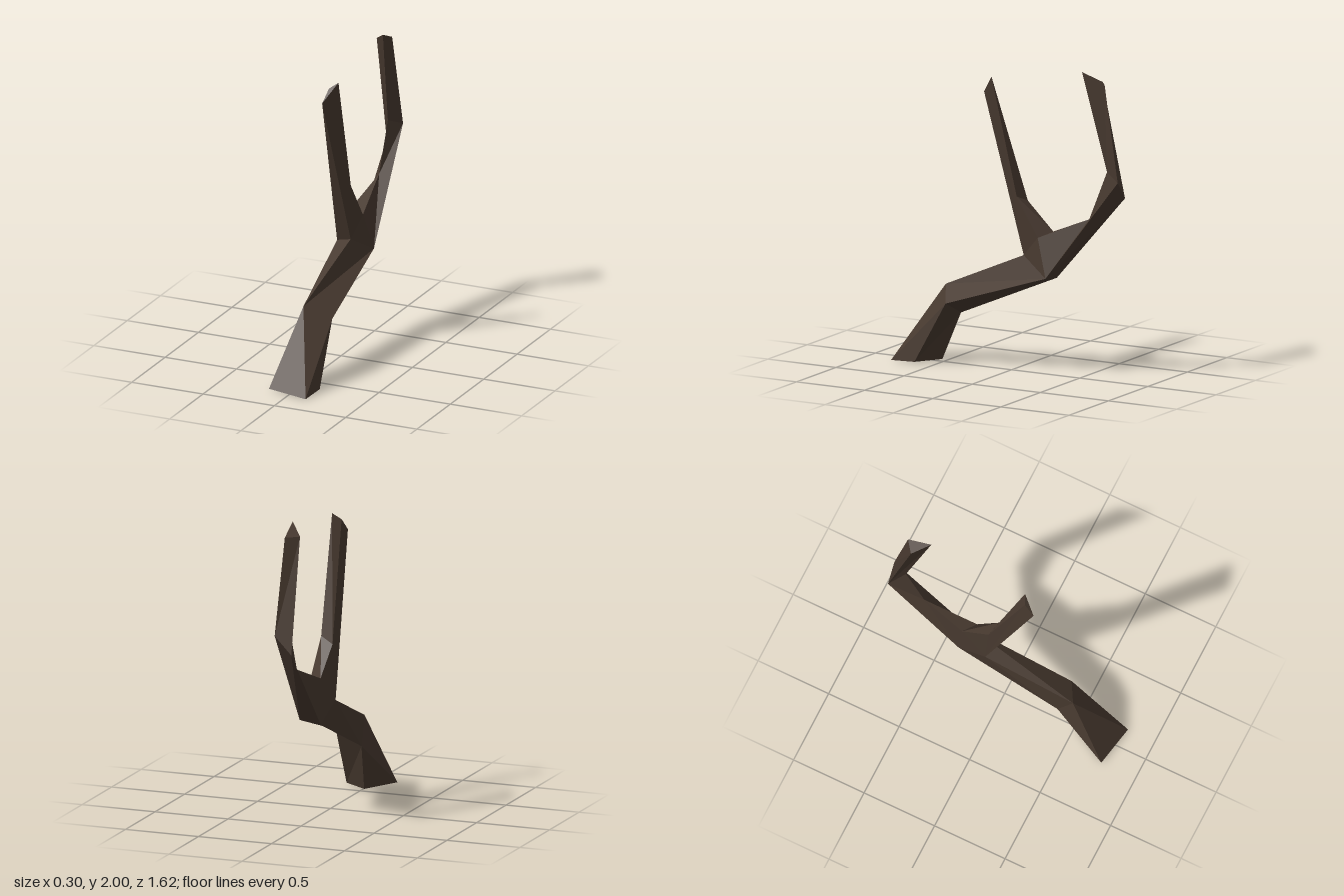
import * as THREE from 'three';

// Corners of each cross-section, ordered counterclockwise seen from above
const foot = [[-0.15, 0.01, 0.76], [0.13, 0, 0.81], [0.145, 0.01, 0.63], [-0.02, 0.01, 0.52]];
const bend = [[-0.03, 0.5, 0.5], [0.13, 0.41, 0.41], [-0.05, 0.32, 0.4]];
const elbow = [[0, 1.36, -0.7], [0.055, 1.31, -0.81], [-0.055, 1.19, -0.8]];
const limbTip = [[0.04, 2, -0.54], [0.03, 1.93, -0.7], [-0.05, 1.93, -0.64]];
const branchTip = [[0.04, 1.9, 0.125], [-0.015, 1.86, 0.15], [-0.03, 1.78, 0.22]];

// Corners around the fork
const crotchR = [0.02, 0.76, -0.1], crotchL = [-0.075, 0.74, -0.1];
const underR = [0.09, 0.64, -0.3], underL = [-0.055, 0.62, -0.3];
const saddleR = [0.05, 0.89, -0.22], saddleL = [-0.045, 0.92, -0.28];
const shoulderR = [0.04, 1.14, -0.06], shoulderL = [-0.05, 1.1, -0.09];
const ridge = [0, 1.04, -0.57];

// Faceted mesh from convex faces, each split into a fan of triangles
function facets(name, faces, material) {
  const positions = [];
  for (const face of faces) {
    for (let i = 1; i < face.length - 1; i++) {
      positions.push(...face[0], ...face[i], ...face[i + 1]);
    }
  }
  const geometry = new THREE.BufferGeometry();
  geometry.setAttribute('position', new THREE.Float32BufferAttribute(positions, 3));
  geometry.computeVertexNormals();
  const mesh = new THREE.Mesh(geometry, material);
  mesh.name = name;
  return mesh;
}

// Side faces joining two rings with the same number of corners
function sides(lower, upper) {
  return lower.map((p, i) => {
    const j = (i + 1) % lower.length;
    return [p, lower[j], upper[j], upper[i]];
  });
}

export function createModel() {
  const bark = new THREE.MeshStandardMaterial({ color: 0x47392f, flatShading: true });
  bark.name = 'dark bark';
  const group = new THREE.Group();
  group.name = 'forkedBranch';

  // Flared foot: four corners narrowing to three
  const [a1, a2, a3, a4] = foot;
  const [b1, b2, b3] = bend;
  group.add(facets('foot', [
    [a1, a4, a3, a2],
    [a1, a2, b1], [a2, b2, b1], [a2, a3, b2],
    [a3, a4, b3, b2], [a4, a1, b3], [a1, b1, b3],
  ], bark));

  // Leaning stem up to the fork
  group.add(facets('stem', [
    [b1, b2, underR, crotchR], [b2, b3, underL, underR],
    [b3, b1, crotchL, underL], [b1, crotchR, crotchL],
  ], bark));

  // Fork and the bough sweeping to the rear
  const [e1, e2, e3] = elbow;
  group.add(facets('fork', [
    [crotchR, underR, saddleR], [saddleR, underR, ridge],
    [underL, crotchL, saddleL], [underL, saddleL, ridge],
    [saddleR, ridge, saddleL],
    [ridge, underR, e2], [ridge, e2, e1],
    [underL, ridge, e3], [e3, ridge, e1],
    [underR, underL, e3, e2],
  ], bark));

  // Rear limb
  group.add(facets('rearLimb', [...sides(elbow, limbTip), limbTip], bark));

  // Front limb with its webbed shoulder
  const [t1, t3, t2] = branchTip;
  group.add(facets('frontLimb', [
    [crotchR, saddleR, shoulderR], [saddleR, saddleL, shoulderR],
    [saddleL, crotchL, shoulderL], [saddleL, shoulderL, shoulderR],
    [crotchR, shoulderR, t1], [crotchR, t1, t2], [crotchL, crotchR, t2],
    [shoulderL, crotchL, t3], [crotchL, t2, t3],
    [shoulderR, shoulderL, t1], [shoulderL, t3, t1],
    branchTip,
  ], bark));

  return group;
}
